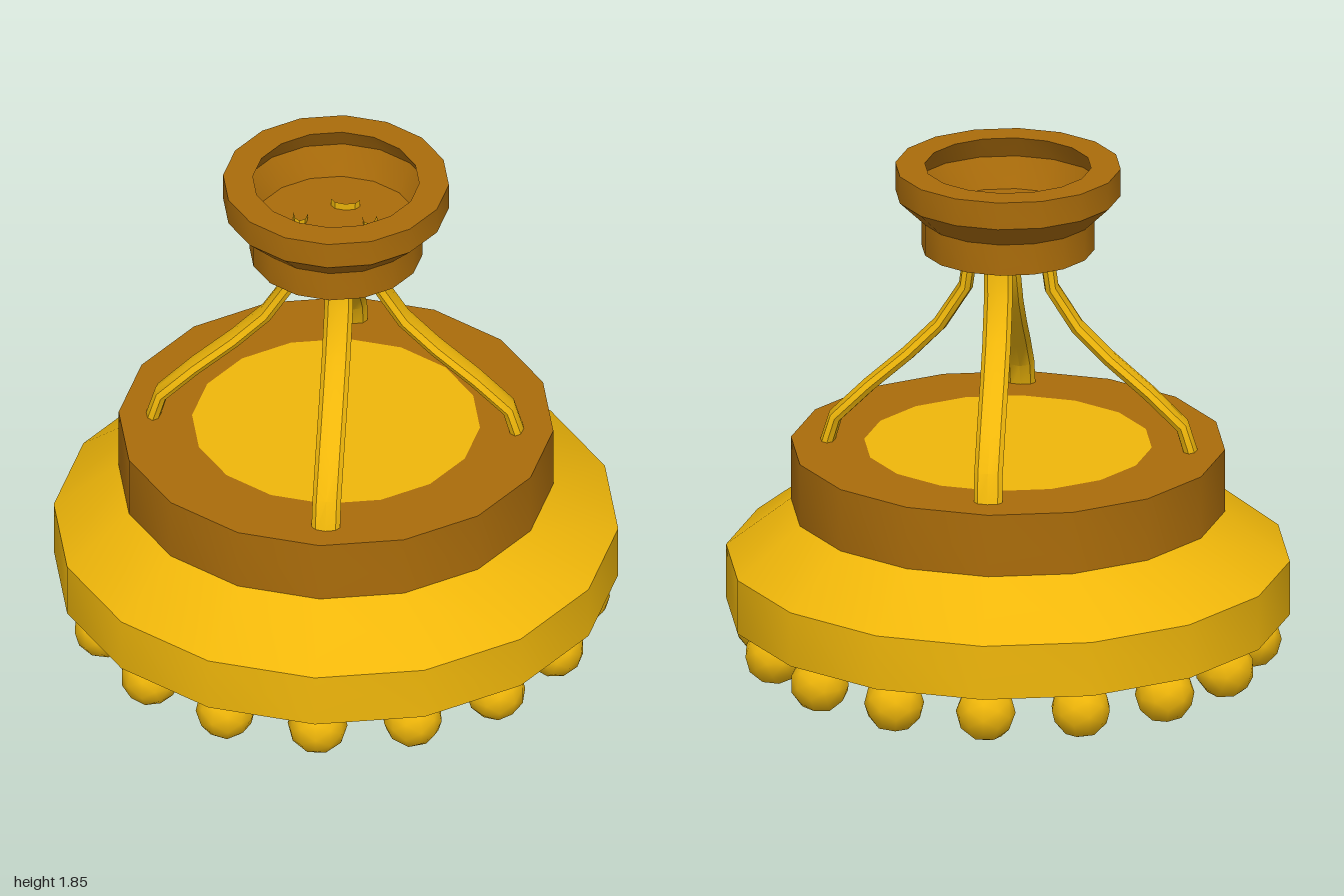
import * as THREE from 'three';
import { toCreasedNormals } from 'three/addons/utils/BufferGeometryUtils.js';

const SIDES = 16;
const gold = new THREE.MeshStandardMaterial({ color: 0xf0b70a });
const brown = new THREE.MeshStandardMaterial({ color: 0xaa6c0a });

// Sixteen-sided turned part from [radius, height] pairs
function turned(name, profile, material) {
  const points = profile.map(([r, y]) => new THREE.Vector2(r, y));
  const geometry = toCreasedNormals(new THREE.LatheGeometry(points, SIDES), Math.PI / 6);
  const mesh = new THREE.Mesh(geometry, material);
  mesh.name = name;
  return mesh;
}

// Path of straight pieces, sampled exactly at its corners
class Polyline extends THREE.Curve {
  constructor(points) {
    super();
    this.points = points;
  }
  getPoint(t, target = new THREE.Vector3()) {
    const n = this.points.length - 1;
    const i = Math.min(Math.floor(t * n + 1e-9), n - 1);
    return target.lerpVectors(this.points[i], this.points[i + 1], t * n - i);
  }
  getPointAt(u, target) { return this.getPoint(u, target); }
  getTangentAt(u, target) { return this.getTangent(u, target); }
}

// Bent arm, twice as wide as thick, leaning slightly to one side
function armGeometry(side) {
  const width = 1.95;
  const path = new Polyline([
    [0.122, 1.69], [0.134, 1.54], [0.152, 1.405], [0.243, 1.26], [0.355, 1.145],
    [0.495, 1.02], [0.615, 0.9], [0.648, 0.79]
  ].map(([x, y]) => {
    const lean = THREE.MathUtils.mapLinear(y, 0.8, 1.66, 0.017, 0.029);
    return new THREE.Vector3(x, y, side * lean / width);
  }));
  const geometry = new THREE.TubeGeometry(path, path.points.length - 1, 0.026, 8, false);
  geometry.scale(1, 1, width);
  return toCreasedNormals(geometry, Math.PI / 5);
}

export function createModel() {
  const model = new THREE.Group();
  model.name = 'ceilingLamp';

  // Shade: gold skirt, brown band, closed top and hollow underside
  const shade = new THREE.Group();
  shade.name = 'shade';
  shade.add(
    turned('skirt', [[0.73, 0.2], [1, 0.2], [1, 0.4], [0.77, 0.58]], gold),
    turned('upperBand', [[0.77, 0.58], [0.77, 0.81], [0.51, 0.81]], brown),
    turned('topDisc', [[0.51, 0.81], [0, 0.81]], gold),
    turned('innerWall', [[0.51, 0.58], [0.745, 0.39], [0.73, 0.2]], brown),
    turned('innerCeiling', [[0, 0.58], [0.51, 0.58]], gold)
  );
  model.add(shade);

  // Canopy: stepped cup, open at the top
  model.add(turned('canopy', [
    [0, 1.545], [0.307, 1.545], [0.307, 1.66], [0.4, 1.75], [0.4, 1.85],
    [0.295, 1.85], [0.345, 1.765], [0.295, 1.66], [0, 1.66]
  ], brown));

  // Four bent flat arms between canopy and shade
  const arms = new THREE.Group();
  arms.name = 'arms';
  [-1, 1, 1, -1].forEach((side, i) => {
    const arm = new THREE.Mesh(armGeometry(side), gold);
    arm.name = 'arm';
    arm.rotation.y = i * Math.PI / 2;
    arms.add(arm);
  });
  arms.position.set(-0.004, 0, 0.011);
  model.add(arms);

  // Ring of beads under the skirt
  const beadGeometry = new THREE.IcosahedronGeometry(0.106, 1);
  const beads = new THREE.Group();
  beads.name = 'beads';
  for (let i = 0; i < SIDES; i++) {
    const angle = i * 2 * Math.PI / SIDES;
    const bead = new THREE.Mesh(beadGeometry, gold);
    bead.name = 'bead';
    bead.position.set(0.865 * Math.sin(angle), 0.108, 0.865 * Math.cos(angle));
    bead.rotation.y = angle;
    beads.add(bead);
  }
  model.add(beads);

  return model;
}
